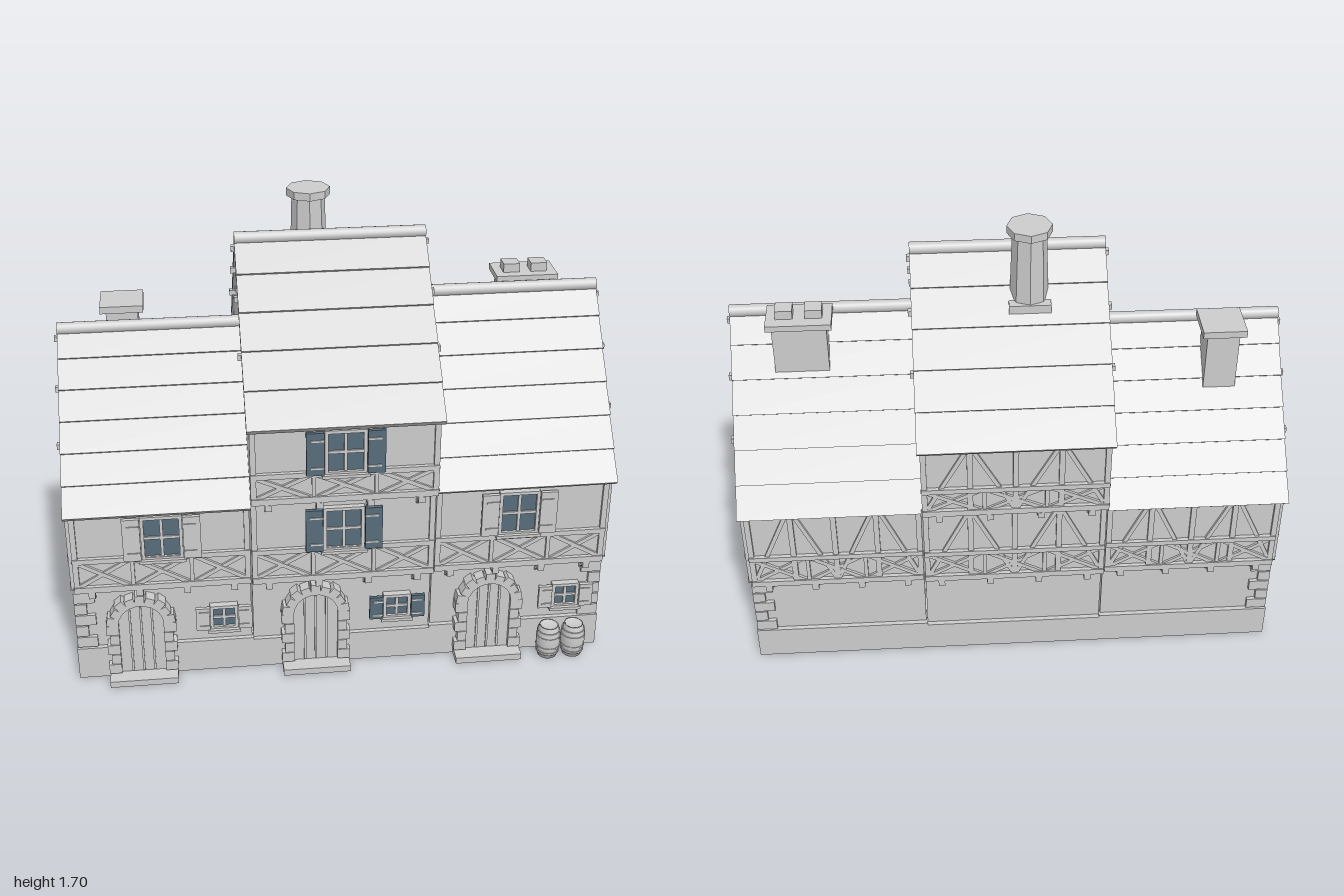
import * as THREE from 'three';

const plain = new THREE.MeshStandardMaterial({ name: 'pale grey', color: 0xcccccc });
const blue = new THREE.MeshStandardMaterial({ name: 'slate blue', color: 0x586c7c });

function add(parent, name, geo, x = 0, y = 0, z = 0, mat = plain) {
  const m = new THREE.Mesh(geo, mat);
  m.name = name;
  m.position.set(x, y, z);
  parent.add(m);
  return m;
}
const box = (p, name, w, h, d, x, y, z, mat) => add(p, name, new THREE.BoxGeometry(w, h, d), x, y, z, mat);

// Straight timber between two points of a facade
function beam(p, x1, y1, x2, y2, w = 0.02, d = 0.022) {
  const b = box(p, 'timber', Math.hypot(x2 - x1, y2 - y1), w, d, (x1 + x2) / 2, (y1 + y2) / 2, 0);
  b.rotation.z = Math.atan2(y2 - y1, x2 - x1);
}

// Local frame of a wall: x to the right, y up, z outward
function facade(p, name, x, z, turn) {
  const g = new THREE.Group();
  g.name = name;
  g.position.set(x, 0, z);
  g.rotation.y = turn;
  p.add(g);
  return g;
}

// Prism along x from a (z, y) outline
function prism(p, name, pts, x0, x1) {
  const geo = new THREE.ExtrudeGeometry(new THREE.Shape(pts.map(q => new THREE.Vector2(q[0], q[1]))),
    { depth: x1 - x0, bevelEnabled: false });
  geo.rotateY(Math.PI / 2);
  return add(p, name, geo, x0);
}
const mirrored = half => [...half, ...half.slice().reverse().filter(q => q[0] > 0).map(q => [-q[0], q[1]])];

// Row of crossed braces between two rails
function crossRail(p, x0, x1, y0, y1, n = 3) {
  beam(p, x0, y0, x1, y0, 0.024, 0.03);
  beam(p, x0, y1, x1, y1, 0.02, 0.03);
  const s = (x1 - x0) / n;
  for (let i = 0; i < n; i++) {
    const a = x0 + i * s, b = a + s;
    beam(p, a, y0, b, y1, 0.015, 0.016);
    beam(p, a, y1, b, y0, 0.015, 0.02);
    if (i) beam(p, a, y0, a, y1, 0.014);
  }
}

// Posts with slanting braces
function frame(p, x0, x1, y0, y1, n, braces) {
  for (let i = 0; i <= n; i++) {
    const x = x0 + (x1 - x0) * i / n;
    beam(p, x, y0, x, y1);
    if (braces && i < n) {
      const b = x + (x1 - x0) / n;
      if (i % 2) beam(p, x, y1, b, y0, 0.015, 0.018);
      else beam(p, x, y0, b, y1, 0.015, 0.018);
    }
  }
  beam(p, x0, y1, x1, y1);
}

function brackets(p, x0, x1, y) {
  for (let i = 0; i < 4; i++) {
    const x = x0 + 0.06 + (x1 - x0 - 0.12) * i / 3;
    box(p, 'bracket', 0.024, 0.025, 0.07, x, y - 0.012, -0.02);
    const strut = box(p, 'bracketStrut', 0.02, 0.016, 0.065, x, y - 0.032, -0.025);
    strut.rotation.x = -0.7;
  }
}

// Four-pane window with open shutters
function windowUnit(p, x, y, w, h, sw, mat = plain) {
  const g = new THREE.Group();
  g.name = 'window';
  g.position.set(x, y, 0);
  p.add(g);
  box(g, 'glass', w, h, 0.008, 0, 0, 0.006, blue);
  for (const s of [-1, 1]) {
    box(g, 'frameSide', 0.012, h + 0.012, 0.026, s * w / 2, 0, 0.008);
    box(g, 'frameRail', w + 0.012, 0.012, 0.026, 0, s * h / 2, 0.008);
    const sx = s * (w / 2 + 0.008 + sw / 2);
    box(g, 'shutter', sw, h + 0.005, 0.014, sx, 0, 0.02, mat);
    for (const t of [-1, 1])
      box(g, 'hinge', sw * 0.75, 0.007, 0.006, sx - s * sw * 0.12, t * h * 0.33, 0.028);
  }
  box(g, 'mullion', 0.011, h, 0.016, 0, 0, 0.008);
  box(g, 'transom', w, 0.011, 0.016, 0, 0, 0.008);
  box(g, 'sill', w + 0.03, 0.012, 0.04, 0, -h / 2 - 0.008, 0.014);
}

// Arched plank door with stone surround and step
function door(p, x) {
  const g = new THREE.Group();
  g.name = 'door';
  g.position.x = x;
  p.add(g);
  const r = 0.085, spring = 0.24;
  const s = new THREE.Shape();
  s.moveTo(-r, 0.02);
  s.lineTo(r, 0.02);
  s.absarc(0, spring, r, 0, Math.PI);
  add(g, 'doorLeaf', new THREE.ExtrudeGeometry(s, { depth: 0.024, bevelEnabled: false }));
  for (let i = -1; i <= 1; i++) box(g, 'doorStrip', 0.008, 0.28, 0.008, i * 0.04, 0.17, 0.026);
  for (const sx of [-1, 1]) for (let i = 0; i < 5; i++) {
    const w = i % 2 ? 0.034 : 0.046;
    box(g, 'jambStone', w, 0.04, 0.045, sx * (r - 0.004 + w / 2), 0.05 + i * 0.043, 0.018);
  }
  for (let i = 0; i < 9; i++) {
    const a = Math.PI * (i + 0.5) / 9, h = i % 2 ? 0.036 : 0.044;
    const v = box(g, 'archStone', h, 0.034, 0.045, Math.cos(a) * (r + h / 2 - 0.004), spring + Math.sin(a) * (r + h / 2 - 0.004), 0.018);
    v.rotation.z = a;
  }
  box(g, 'doorStep', 0.25, 0.025, 0.1, 0, 0.0125, 0.035);
}

// Saw-toothed tiled roof, ridge roll and purlin ends
function roof(p, x0, x1, ridge, ez, ey, rows) {
  const L = Math.hypot(ez, ridge - ey), d = [-ez / L, (ridge - ey) / L], n = [d[1], -d[0]];
  const at = (s, o) => [ez + d[0] * s + n[0] * o, ey + d[1] * s + n[1] * o];
  const half = [[0, ridge - 0.02 / n[1]], at(0, -0.02)];
  for (let i = 0; i < rows; i++) {
    half.push(at(L * i / rows, 0.01));
    half.push(i === rows - 1 ? [0, ridge] : at(L * (i + 1) / rows, 0));
  }
  const left = half.slice(1, -1).reverse().map(q => [-q[0], q[1]]);
  prism(p, 'roofTiles', [...half, ...left], x0, x1);
  const roll = add(p, 'ridgeRoll', new THREE.CylinderGeometry(0.022, 0.022, x1 - x0, 16), (x0 + x1) / 2, ridge);
  roll.rotation.z = Math.PI / 2;
  for (const t of [0, 0.27, 0.57]) for (const s of t ? [-1, 1] : [1])
    box(p, 'purlin', x1 - x0 + 0.024, 0.02, 0.02, (x0 + x1) / 2, ridge - 0.038 - t * (ridge - ey), s * t * ez);
}

// Timbered gable end on a facade
function gable(p, zw, wallTop, ridge, slope, windows) {
  const at = y => (ridge - 0.05 - y) / slope;
  crossRail(p, -zw, zw, 0.41, 0.53);
  frame(p, -zw, zw, 0.41, 0.79 > wallTop + 0.05 ? wallTop : 0.78, windows ? 1 : 4, !windows);
  for (const s of [-1, 1]) {
    beam(p, s * zw, wallTop - 0.02, 0, ridge - 0.055, 0.018);
    beam(p, s * 0.075, 0.79, s * 0.075, ridge - 0.06 - 0.075 * slope);
    beam(p, s * 0.075, 0.8, s * at(0.95), 0.95, 0.015, 0.018);
  }
  for (const y of [0.94, ridge - 0.21]) beam(p, -at(y), y, at(y), y);
  box(p, 'gableHatch', 0.1, 0.14, 0.024, 0, ridge - 0.305, 0);
  if (windows) for (const x of [-0.185, 0.185]) windowUnit(p, x, 0.62, 0.13, 0.16, 0.065);
}

const barrelProfile = [[0, 0], [0.036, 0], [0.043, 0.035], [0.046, 0.066], [0.043, 0.1], [0.036, 0.132], [0.032, 0.132], [0.032, 0.125], [0, 0.125]]
  .map(q => new THREE.Vector2(q[0], q[1]));

export function createModel() {
  const root = new THREE.Group();
  root.name = 'townHouses';
  const houses = [
    { name: 'leftHouse', x0: -0.965, x1: -0.335, zw: 0.415, ridge: 1.245, ez: 0.465, ey: 0.73, rows: 6, door: -0.74, win: -0.645, small: -0.437, mat: plain, plinth: 0.13 },
    { name: 'middleHouse', x0: -0.33, x1: 0.33, zw: 0.425, ridge: 1.56, ez: 0.517, ey: 1.06, rows: 5, door: -0.1, win: 0, small: 0.205, mat: blue, plinth: 0.122, tall: true },
    { name: 'rightHouse', x0: 0.335, x1: 0.965, zw: 0.415, ridge: 1.33, ez: 0.462, ey: 0.75, rows: 6, door: 0.55, win: 0.637, small: 0.845, mat: plain, plinth: 0.132 },
  ];
  for (const h of houses) {
    const g = new THREE.Group();
    g.name = h.name;
    root.add(g);
    const cx = (h.x0 + h.x1) / 2, w = h.x1 - h.x0, slope = (h.ridge - h.ey) / h.ez;
    const e0 = h.x0 < -0.9 ? -0.98 : h.x0 - 0.005, e1 = h.x1 > 0.9 ? 0.98 : h.x1 + 0.005;

    // Plinth, ground floor and upper body
    box(g, 'plinth', e1 - e0, h.plinth, 0.785, (e0 + e1) / 2, h.plinth / 2, 0);
    box(g, 'groundFloor', w, 0.32, 0.75, cx, 0.25, 0);
    const top = z => h.ridge - 0.03 - slope * z;
    if (h.tall) box(g, 'firstFloor', w, 0.37, h.zw * 2, cx, 0.585, 0);
    const bz = h.tall ? 0.47 : h.zw, by = h.tall ? 0.75 : 0.4;
    prism(g, 'upperWalls', mirrored([[bz, by], [bz, top(bz)], [0, top(0)]]), h.x0, h.x1);
    roof(g, h.tall ? -0.34 : e0, h.tall ? 0.34 : e1, h.ridge, h.ez, h.ey, h.rows);

    // Front and back timbering
    for (const side of ['front', 'back']) {
      const back = side === 'back', turn = back ? Math.PI : 0, s = back ? -1 : 1;
      const f = facade(g, side + 'FirstFloor', cx, s * h.zw, turn);
      crossRail(f, -w / 2, w / 2, 0.41, 0.53);
      frame(f, -w / 2 + 0.01, w / 2 - 0.01, 0.41, h.tall ? 0.735 : top(h.zw) - 0.015, back ? 4 : 1, back);
      brackets(f, -w / 2, w / 2, 0.398);
      if (!back) windowUnit(f, h.win - cx, h.x0 > 0.3 ? 0.63 : 0.615, 0.135, 0.165, 0.062, h.mat);
      if (h.tall) {
        const u = facade(g, side + 'SecondFloor', cx, s * 0.47, turn);
        crossRail(u, -w / 2, w / 2, 0.765, 0.865);
        frame(u, -w / 2 + 0.01, w / 2 - 0.01, 0.765, 1.06, back ? 4 : 1, back);
        brackets(u, -w / 2, w / 2, 0.752);
        if (!back) windowUnit(u, 0, 0.95, 0.135, 0.16, 0.062, blue);
      }
    }

    // Ground floor openings
    const f = facade(g, 'frontGroundFloor', 0, 0.38, 0);
    door(f, h.door);
    windowUnit(f, h.small, 0.235, 0.09, 0.09, 0.05, h.mat);

    // Outer gable end and corner stones
    if (!h.tall) {
      const s = Math.sign(cx), right = s > 0;
      gable(facade(g, 'gableEnd', s * 0.967, 0, s * Math.PI / 2), h.zw - 0.01, top(h.zw), h.ridge, slope, right);
      if (right) {
        const gf = facade(g, 'sideGroundFloor', 0.965, 0, Math.PI / 2);
        for (const x of [-0.19, 0.19]) windowUnit(gf, x, 0.23, 0.095, 0.09, 0.05);
      }
      for (const z of [-1, 1]) for (let i = 0; i < 5; i++) {
        const a = i % 2 ? 0.045 : 0.075, b = i % 2 ? 0.075 : 0.045;
        box(g, 'cornerStone', a, 0.043, b, s * (0.977 - a / 2), 0.157 + i * 0.048, z * (0.389 - b / 2));
      }
    }
  }

  // Chimneys
  box(root, 'leftChimney', 0.115, 0.3, 0.115, -0.75, 1.125, -0.122);
  box(root, 'leftChimneyCap', 0.155, 0.026, 0.155, -0.75, 1.287, -0.122);
  box(root, 'rightChimney', 0.19, 0.25, 0.105, 0.73, 1.225, -0.093);
  box(root, 'rightChimneyCap', 0.228, 0.022, 0.14, 0.73, 1.352, -0.093);
  for (const x of [0.678, 0.78]) box(root, 'chimneyPot', 0.06, 0.035, 0.058, x, 1.378, -0.09);
  box(root, 'middleChimneyBase', 0.145, 0.12, 0.14, -0.067, 1.365, -0.112);
  add(root, 'middleChimney', new THREE.CylinderGeometry(0.059, 0.068, 0.28, 8).toNonIndexed(), -0.067, 1.54, -0.11).geometry.computeVertexNormals();
  add(root, 'middleChimneyCap', new THREE.CylinderGeometry(0.078, 0.078, 0.028, 8).toNonIndexed(), -0.067, 1.686, -0.11).geometry.computeVertexNormals();

  // Barrels
  for (const x of [0.782, 0.877]) {
    add(root, 'barrel', new THREE.LatheGeometry(barrelProfile, 16), x, 0, 0.437);
    for (const y of [0.022, 0.045, 0.088, 0.11])
      add(root, 'barrelHoop', new THREE.CylinderGeometry(0.0465, 0.0465, 0.008, 16), x, y, 0.437).scale.setScalar(Math.abs(y - 0.066) > 0.03 ? 0.94 : 1.0);
  }
  return root;
}
